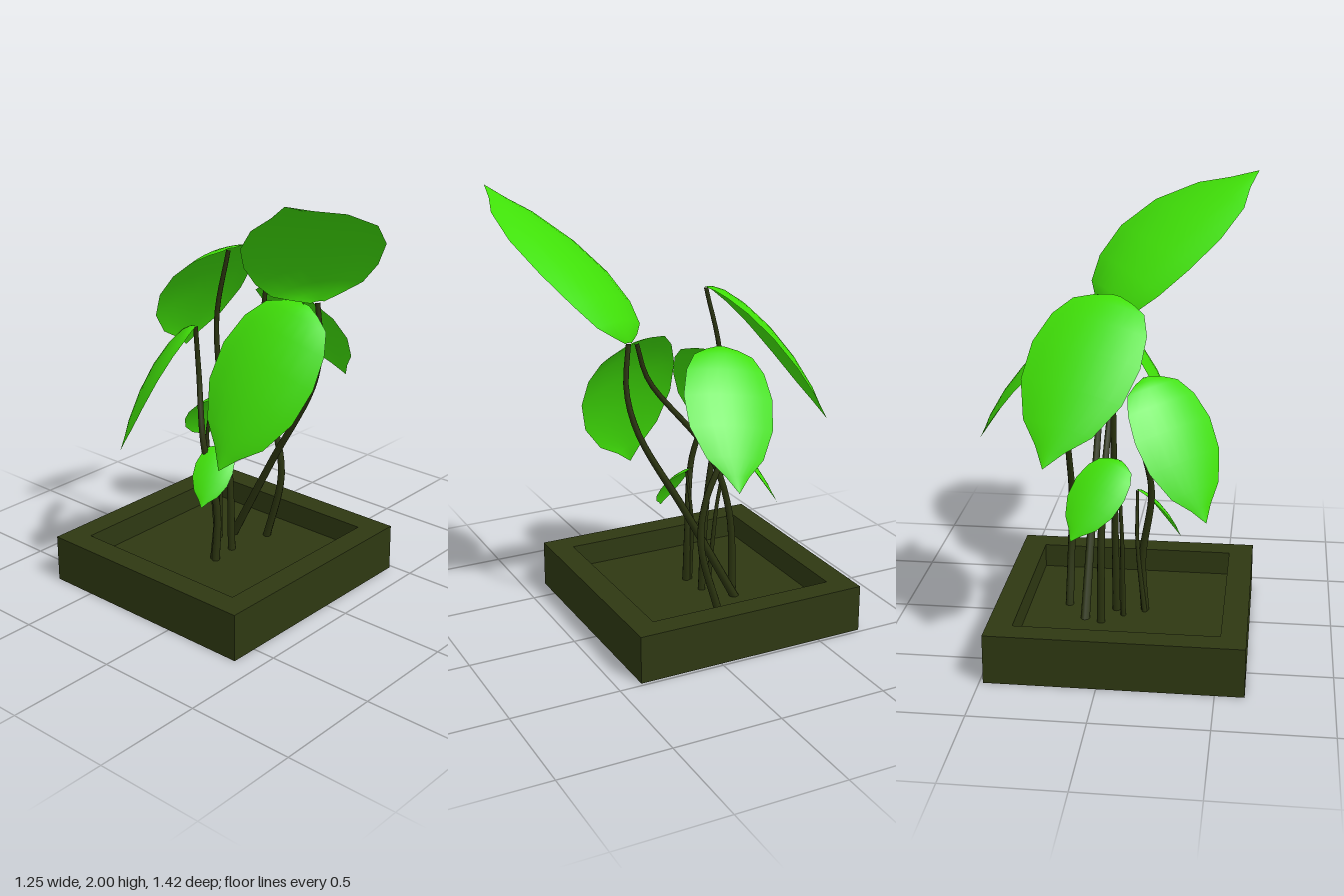
import * as THREE from 'three';

const leafMat = new THREE.MeshStandardMaterial({ color: 0x40e008, side: THREE.DoubleSide });
const stemMat = new THREE.MeshStandardMaterial({ color: 0x2a330f });
const potMat = new THREE.MeshStandardMaterial({ color: 0x2e3812, side: THREE.DoubleSide, flatShading: true });

const vec = (a) => new THREE.Vector3(...a);

// Leaf outline: [distance from base, half width], as fractions of the leaf length
const OUTLINE = [[0, 0.03], [0.03, 0.11], [0.08, 0.2], [0.2, 0.265], [0.38, 0.3],
  [0.59, 0.28], [0.785, 0.19], [0.895, 0.08], [1, 0]];

// Cupped, arched leaf blade from base to tip, rolled about its own length;
// skew bows the blade to one side
function leafGeometry(base, tip, roll, skew) {
  const b = vec(base);
  const u = vec(tip).sub(b);
  const len = u.length();
  u.normalize();
  const v = new THREE.Vector3(u.z, 0, -u.x).normalize().applyAxisAngle(u, roll);
  const n = new THREE.Vector3().crossVectors(u, v);

  const cols = 8, pos = [], idx = [];
  OUTLINE.forEach(([s, w], i) => {
    const arch = 0.055 * Math.sin(Math.PI * Math.pow(s, 0.7));
    const shift = skew * Math.sin(Math.PI * s);
    for (let j = 0; j <= cols; j++) {
      const q = (j / cols) * 2 - 1;
      const rise = arch + 0.17 * w * (1 - q * q);
      const p = b.clone()
        .addScaledVector(u, s * len)
        .addScaledVector(v, (q * w + shift) * len)
        .addScaledVector(n, rise * len);
      pos.push(p.x, p.y, p.z);
      if (i > 0 && j > 0) {
        const d = i * (cols + 1) + j, a = d - cols - 1;
        idx.push(a - 1, d - 1, a, a, d - 1, d);
      }
    }
  });
  const g = new THREE.BufferGeometry();
  g.setAttribute('position', new THREE.Float32BufferAttribute(pos, 3));
  g.setIndex(idx);
  g.computeVertexNormals();
  return g;
}

// Curved stem, tapering towards the leaf
function stemGeometry(points, radius) {
  const curve = new THREE.CatmullRomCurve3(points.map(vec));
  const rows = 24, sides = 8;
  const g = new THREE.TubeGeometry(curve, rows, radius, sides, false);
  const p = g.attributes.position, q = new THREE.Vector3();
  for (let i = 0; i < p.count; i++) {
    const t = Math.floor(i / (sides + 1)) / rows;
    const c = curve.getPointAt(t);
    q.fromBufferAttribute(p, i).sub(c).multiplyScalar(1 - 0.45 * t).add(c);
    p.setXYZ(i, q.x, q.y, q.z);
  }
  return g;
}

// One shoot: a stem rising through the bends to the base of its leaf
function shoot(name, radius, bends, base, tip, roll, skew = 0) {
  const group = new THREE.Group();
  group.name = name;
  const stem = new THREE.Mesh(stemGeometry([...bends, base], radius), stemMat);
  stem.name = 'stem';
  const leaf = new THREE.Mesh(leafGeometry(base, tip, roll, skew), leafMat);
  leaf.name = 'leaf';
  group.add(stem, leaf);
  return group;
}

// Square tray with a sunken bed, open underneath: a four-sided lathe
function tray() {
  const outer = 0.555 * Math.SQRT2, inner = 0.4445 * Math.SQRT2;
  const profile = [[outer, 0], [outer, 0.22], [inner, 0.22], [inner, 0.11], [0, 0.11]];
  const mesh = new THREE.Mesh(
    new THREE.LatheGeometry(profile.map(([x, y]) => new THREE.Vector2(x, y)), 4), potMat);
  mesh.name = 'tray';
  mesh.rotation.y = Math.PI / 4;
  mesh.position.set(-0.0715, 0, -0.163);
  return mesh;
}

export function createModel() {
  const model = new THREE.Group();
  model.name = 'pottedPlant';
  model.add(
    tray(),
    shoot('topShoot', 0.021,
      [[0.105, 0.09, -0.28], [0.1, 0.57, -0.02], [0.095, 1, 0.22], [0.085, 1.2, 0.265]],
      [0.08, 1.395, 0.25], [-0.6, 2, 0.63], 0.24, 0.045),
    shoot('backShoot', 0.018,
      [[-0.025, 0.09, -0.165], [-0.02, 0.5, -0.18], [-0.02, 0.94, -0.235], [-0.02, 1.25, -0.25]],
      [-0.02, 1.575, -0.175], [0.22, 0.96, -0.675], -0.2),
    shoot('frontShoot', 0.019,
      [[0.03, 0.09, -0.3], [0.03, 0.5, -0.28], [0.025, 0.8, -0.18], [0.025, 1.2, 0.13]],
      [0.055, 1.385, 0.2], [-0.345, 0.685, 0.05], -0.5),
    shoot('leftShoot', 0.019,
      [[0.195, 0.09, -0.14], [0.195, 0.45, -0.045], [0.19, 0.65, -0.07], [0.19, 0.94, -0.18]],
      [0.19, 1.36, -0.14], [0.62, 0.855, 0], -0.24, -0.02),
    shoot('rightShoot', 0.019,
      [[-0.155, 0.09, -0.15], [-0.14, 0.36, -0.15], [-0.183, 0.7, -0.19], [-0.137, 1, -0.255]],
      [-0.16, 1.24, -0.25], [-0.44, 0.67, -0.465], 0.2),
    shoot('smallRightShoot', 0.012,
      [[-0.155, 0.09, -0.17], [-0.118, 0.44, -0.16]],
      [-0.115, 0.68, -0.13], [-0.31, 0.45, -0.09], -0.2),
    shoot('smallBackShoot', 0.012,
      [[-0.062, 0.09, -0.22], [-0.06, 0.49, -0.26], [-0.055, 0.68, -0.285]],
      [-0.05, 0.86, -0.25], [0.14, 0.56, -0.47], -0.38),
  );
  return model;
}
